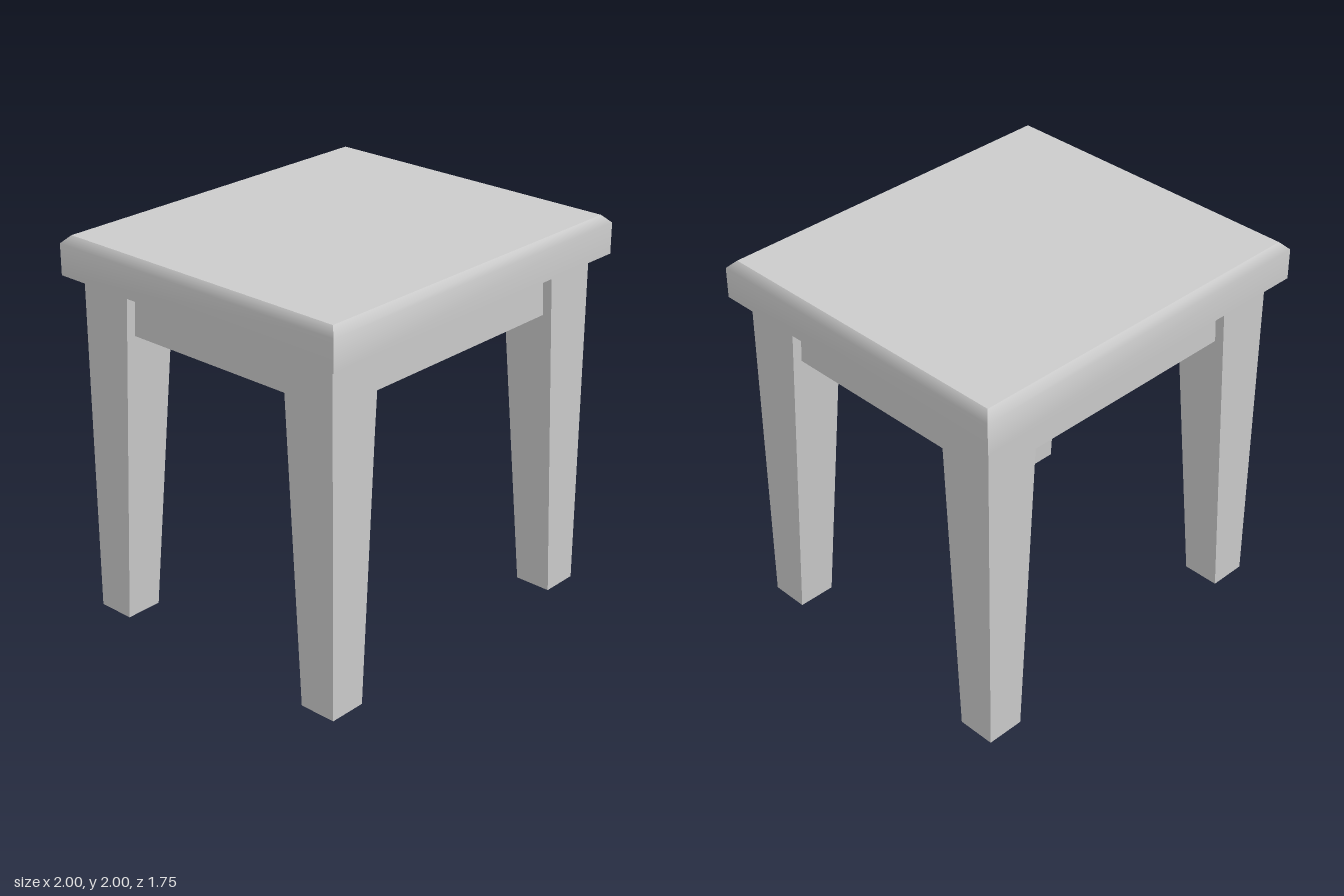
import * as THREE from 'three';

const material = new THREE.MeshStandardMaterial({ color: 0xcccccc });

function addMesh(group, name, geometry, x = 0, y = 0, z = 0) {
  const mesh = new THREE.Mesh(geometry, material);
  mesh.name = name;
  mesh.position.set(x, y, z);
  group.add(mesh);
}

// One edge of the seat: a vertical face blending smoothly into the chamfer above it
function edgeStrip(halfLength, depth, height, chamfer) {
  const rings = [
    [halfLength, 0, depth],
    [halfLength, height - chamfer, depth],
    [halfLength - chamfer, height, depth - chamfer],
  ];
  const positions = [];
  const index = [];
  rings.forEach(([x, y, z], i) => {
    positions.push(-x, y, z, x, y, z);
    if (i > 0) {
      const a = 2 * (i - 1);
      index.push(a, a + 1, a + 3, a, a + 3, a + 2);
    }
  });
  const geometry = new THREE.BufferGeometry();
  geometry.setAttribute('position', new THREE.Float32BufferAttribute(positions, 3));
  geometry.setIndex(index);
  geometry.computeVertexNormals();
  return geometry;
}

function createSeat() {
  const halfW = 1, halfD = 0.875, height = 0.2, chamfer = 0.04;
  const seat = new THREE.Group();
  seat.name = 'seat';
  ['Front', 'Left', 'Back', 'Right'].forEach((side, i) => {
    const strip = i % 2 === 0
      ? edgeStrip(halfW, halfD, height, chamfer)
      : edgeStrip(halfD, halfW, height, chamfer);
    addMesh(seat, 'seatEdge' + side, strip.rotateY(i * Math.PI / 2));
  });
  const top = new THREE.PlaneGeometry(2 * (halfW - chamfer), 2 * (halfD - chamfer));
  addMesh(seat, 'seatTop', top.rotateX(-Math.PI / 2), 0, height, 0);
  const bottom = new THREE.PlaneGeometry(2 * halfW, 2 * halfD);
  addMesh(seat, 'seatUnderside', bottom.rotateX(Math.PI / 2));
  seat.position.y = 1.8;
  return seat;
}

// Leg with two upright outer faces; the two inner faces taper towards the foot
function legGeometry(sx, sz) {
  const height = 1.8, footWidth = 0.2, topWidth = 0.3;
  const geometry = new THREE.BoxGeometry(1, height, 1);
  const p = geometry.attributes.position;
  for (let i = 0; i < p.count; i++) {
    const width = p.getY(i) > 0 ? topWidth : footWidth;
    p.setX(i, p.getX(i) * sx > 0 ? 0 : -sx * width);
    p.setZ(i, p.getZ(i) * sz > 0 ? 0 : -sz * width);
  }
  geometry.computeVertexNormals();
  return geometry.translate(0, height / 2, 0);
}

export function createModel() {
  const model = new THREE.Group();
  model.name = 'stool';

  model.add(createSeat());

  // Solid apron block, set back from the outer leg faces
  addMesh(model, 'apron', new THREE.BoxGeometry(1.75, 0.25, 1.5), 0, 1.675, 0);

  // Four mirrored legs
  for (const sx of [-1, 1]) {
    for (const sz of [-1, 1]) {
      const name = (sz > 0 ? 'front' : 'back') + (sx > 0 ? 'Left' : 'Right') + 'Leg';
      addMesh(model, name, legGeometry(sx, sz), sx * 0.925, 0, sz * 0.8);
    }
  }
  return model;
}
